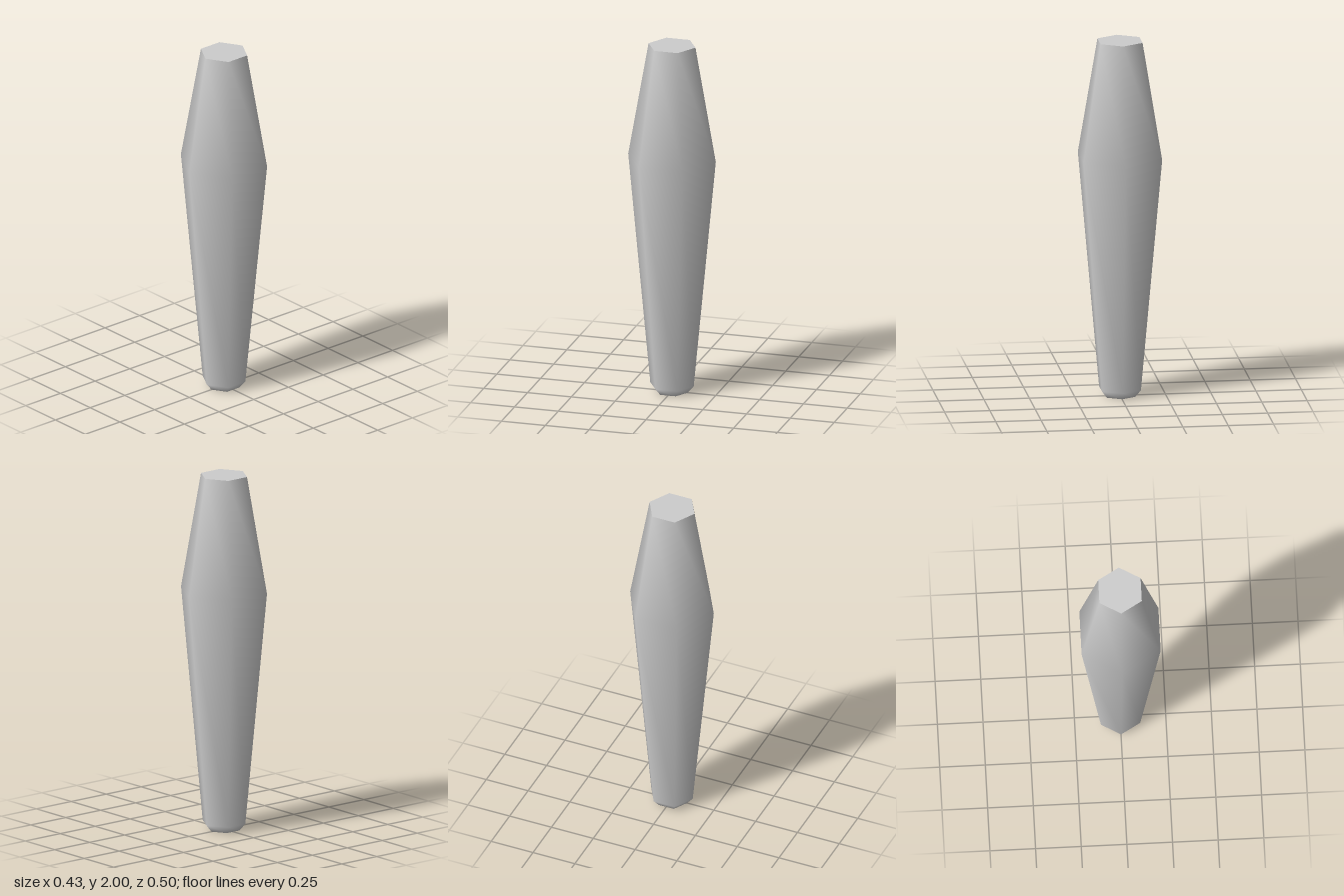
import * as THREE from 'three';

const SIDES = 6;
// radius and height of each ring, from the base up
const PROFILE = [[0.09, 0], [0.124, 0.04], [0.25, 1.35], [0.134, 2]];

export function createModel() {
  const group = new THREE.Group();
  group.name = 'taperedHexagonalPost';
  const material = new THREE.MeshStandardMaterial({ color: 0xcccccc });

  const add = (name, geometry, y = 0) => {
    const mesh = new THREE.Mesh(geometry, material);
    mesh.name = name;
    mesh.position.y = y;
    group.add(mesh);
  };

  // smooth-shaded six-sided body, corners on the z axis
  const points = PROFILE.map(([r, y]) => new THREE.Vector2(r, y));
  add('body', new THREE.LatheGeometry(points, SIDES));

  // flat end caps, turned to match the body's corners
  const cap = (radius, tilt) =>
    new THREE.CircleGeometry(radius, SIDES, Math.PI / 2).rotateX(tilt);
  const [top, bottom] = [PROFILE[PROFILE.length - 1], PROFILE[0]];
  add('topCap', cap(top[0], -Math.PI / 2), top[1]);
  add('bottomCap', cap(bottom[0], Math.PI / 2), bottom[1]);

  return group;
}
